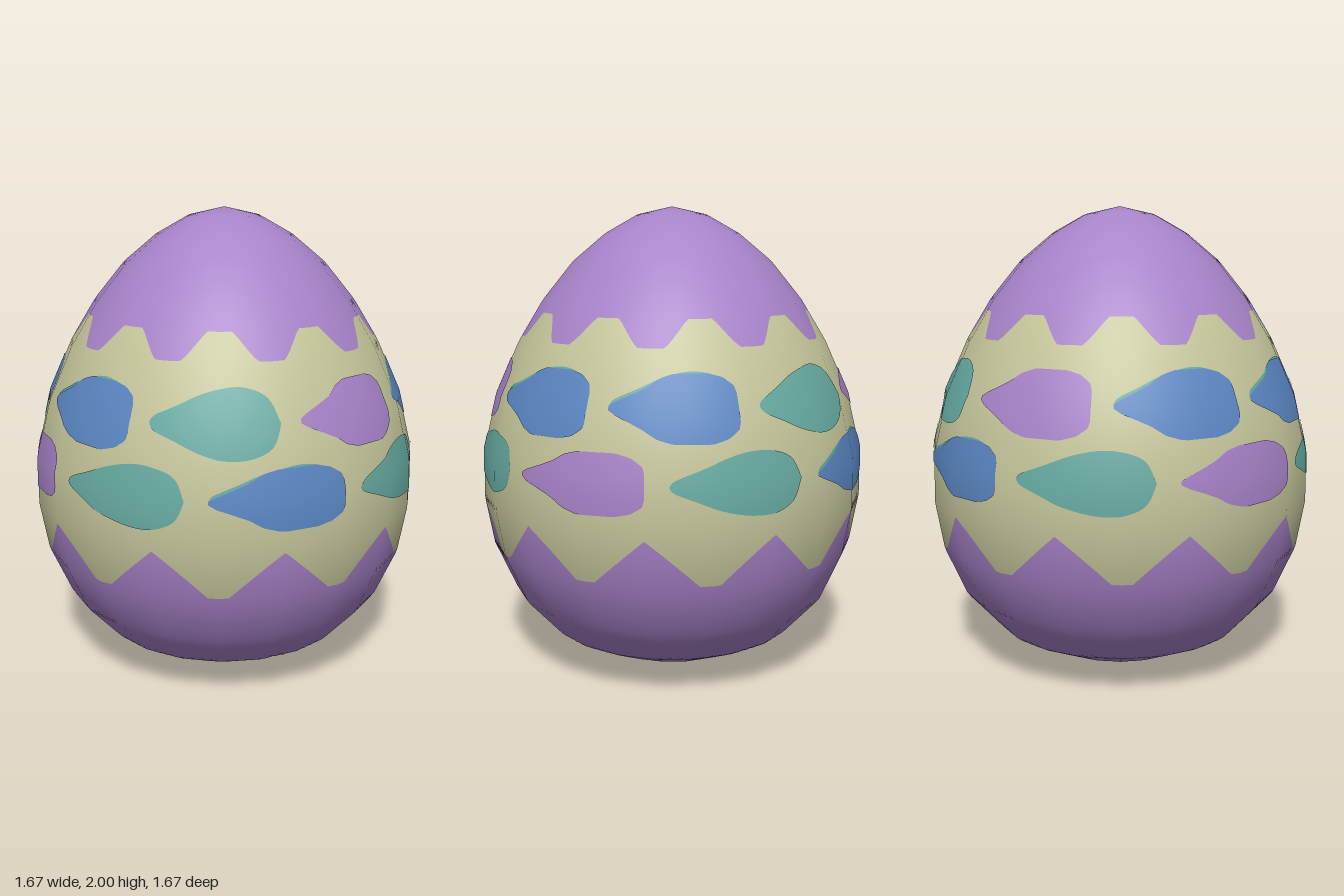
import * as THREE from 'three';

const SIDES = 20;
const TAU = Math.PI * 2;
const deg = Math.PI / 180;

// Egg profile from base to tip: radius, height
const profile = [
  [0, 0], [0.313, 0.055], [0.54, 0.16], [0.70, 0.335], [0.795, 0.55], [0.832, 0.76], [0.827, 0.97],
  [0.768, 1.21], [0.667, 1.435], [0.56, 1.61], [0.43, 1.77], [0.29, 1.887], [0.15, 1.966], [0, 2],
].map(([r, y]) => new THREE.Vector2(r, y));
const last = profile.length - 1;

// Smooth outward normal (radial, up) at every ring
const ringNormals = profile.map((p, i) => {
  if (i === 0) return new THREE.Vector2(0, -1);
  if (i === last) return new THREE.Vector2(0, 1);
  const d = profile[i + 1].clone().sub(profile[i - 1]);
  return new THREE.Vector2(d.y, -d.x).normalize();
});

// Ring position (fractional index) for a height
function ringAt(y) {
  let i = 0;
  while (i < last - 1 && profile[i + 1].y < y) i++;
  return i + (y - profile[i].y) / (profile[i + 1].y - profile[i].y);
}

// Point and normal on the 20-sided egg; angle runs from the front toward +x
function eggPoint(angle, ring, lift) {
  const i = Math.min(last - 1, Math.floor(ring));
  const p = profile[i].clone().lerp(profile[i + 1], ring - i);
  const n = ringNormals[i].clone().lerp(ringNormals[i + 1], ring - i).normalize();
  const step = TAU / SIDES;
  const off = angle - (Math.floor(angle / step + 1e-6) + 0.5) * step;
  const r = p.x * Math.cos(step / 2) / Math.cos(off);
  const s = Math.sin(angle), c = Math.cos(angle);
  const normal = new THREE.Vector3(s * n.x, n.y, c * n.x);
  const position = new THREE.Vector3(s * r, p.y, c * r).addScaledVector(normal, lift);
  return { position, normal };
}

// Grid patch on the egg: place(column, row) gives [angle, ring], both inputs 0..1
function patch(name, material, cols, rows, lift, place) {
  const pos = [], nor = [], idx = [];
  for (let j = 0; j <= rows; j++) {
    for (let i = 0; i <= cols; i++) {
      const [angle, ring] = place(i / cols, j / rows);
      const { position, normal } = eggPoint(angle, ring, lift);
      pos.push(...position);
      nor.push(...normal);
      if (i < cols && j < rows) {
        const a = j * (cols + 1) + i, b = a + cols + 1;
        idx.push(a, a + 1, b, a + 1, b + 1, b);
      }
    }
  }
  const geometry = new THREE.BufferGeometry();
  geometry.setAttribute('position', new THREE.Float32BufferAttribute(pos, 3));
  geometry.setAttribute('normal', new THREE.Float32BufferAttribute(nor, 3));
  geometry.setIndex(idx);
  const mesh = new THREE.Mesh(geometry, material);
  mesh.name = name;
  return mesh;
}

// Scalloped borders of the middle band, ten waves around
function upperEdge(angle) {
  return 1.512 - 0.053 * THREE.MathUtils.clamp(1.45 * Math.cos(10 * angle), -1, 1);
}
function lowerEdge(angle) {
  const phase = Math.acos(THREE.MathUtils.clamp(Math.cos(10 * angle), -1, 1)) / Math.PI;
  return 0.56 + 0.19 * Math.max(0, 1 - 1.2 * phase);
}

// Drop outlines: position along the drop, half height
const vec = (pts) => pts.map(([u, h]) => new THREE.Vector2(u, h));
const smoothDrop = new THREE.SplineCurve(vec([
  [0, 0], [0.04, 0.2], [0.2, 0.48], [0.4, 0.82], [0.6, 1], [0.78, 0.96], [0.93, 0.66], [1, 0],
])).getPoints(40);
const blockyDrop = new THREE.Path(vec([
  [0, 0.06], [0.06, 0.2], [0.18, 0.4], [0.28, 0.58], [0.38, 0.84], [0.5, 0.98], [0.78, 0.98],
  [0.9, 0.86], [0.985, 0.62], [1, 0.4],
])).getSpacedPoints(40);

function drop(name, material, outline, tip, height, half, lift) {
  const span = 38.5;
  return patch(name, material, 40, 10, lift, (u, v) => {
    const p = outline[Math.round(u * 40)];
    const y = height + half * Math.max(0, p.y) * (v * 2 - 1);
    return [(tip + span * p.x) * deg, ringAt(y)];
  });
}

export function createModel() {
  const paint = (name, color) => {
    const m = new THREE.MeshStandardMaterial({ color });
    m.name = name;
    return m;
  };
  const purple = paint('purple', 0xa782c8);
  const cream = paint('cream', 0xc4c59a);
  const blue = paint('blue', 0x5a86c2);
  const teal = paint('teal', 0x66aaa1);

  const egg = new THREE.Group();
  egg.name = 'paintedEgg';

  // Shell in three zones that meet at the scalloped borders
  const zone = (name, material, from, to) => patch(name, material, 240, 36, 0, (u, v) => {
    const angle = u * TAU;
    return [angle, THREE.MathUtils.lerp(ringAt(from(angle)), ringAt(to(angle)), v)];
  });
  egg.add(zone('shellBottom', purple, () => 0, lowerEdge));
  egg.add(zone('shellBand', cream, lowerEdge, upperEdge));
  egg.add(zone('shellTop', purple, upperEdge, () => 2));

  // Two rows of eight painted drops, tips pointing the same way around
  const rows = [
    { name: 'upperDrop', colors: [teal, purple, blue, blue], tip: -38.5, height: 1.24, half: 0.13 },
    { name: 'lowerDrop', colors: [blue, teal, purple, teal], tip: -20.5, height: 0.957, half: 0.122 },
  ];
  for (const row of rows) {
    for (let i = 0; i < 8; i++) {
      const color = row.colors[i % 4];
      const tip = row.tip + 45 * i;
      const outline = color === teal ? smoothDrop : blockyDrop;
      egg.add(drop(row.name, color, outline, tip, row.height, row.half, 0.004));
      // Thin teal rim peeking out above the blue drops
      if (color === blue) {
        egg.add(drop(row.name + 'Rim', teal, smoothDrop, tip, row.height + 0.008, row.half - 0.004, 0.002));
      }
    }
  }
  return egg;
}
